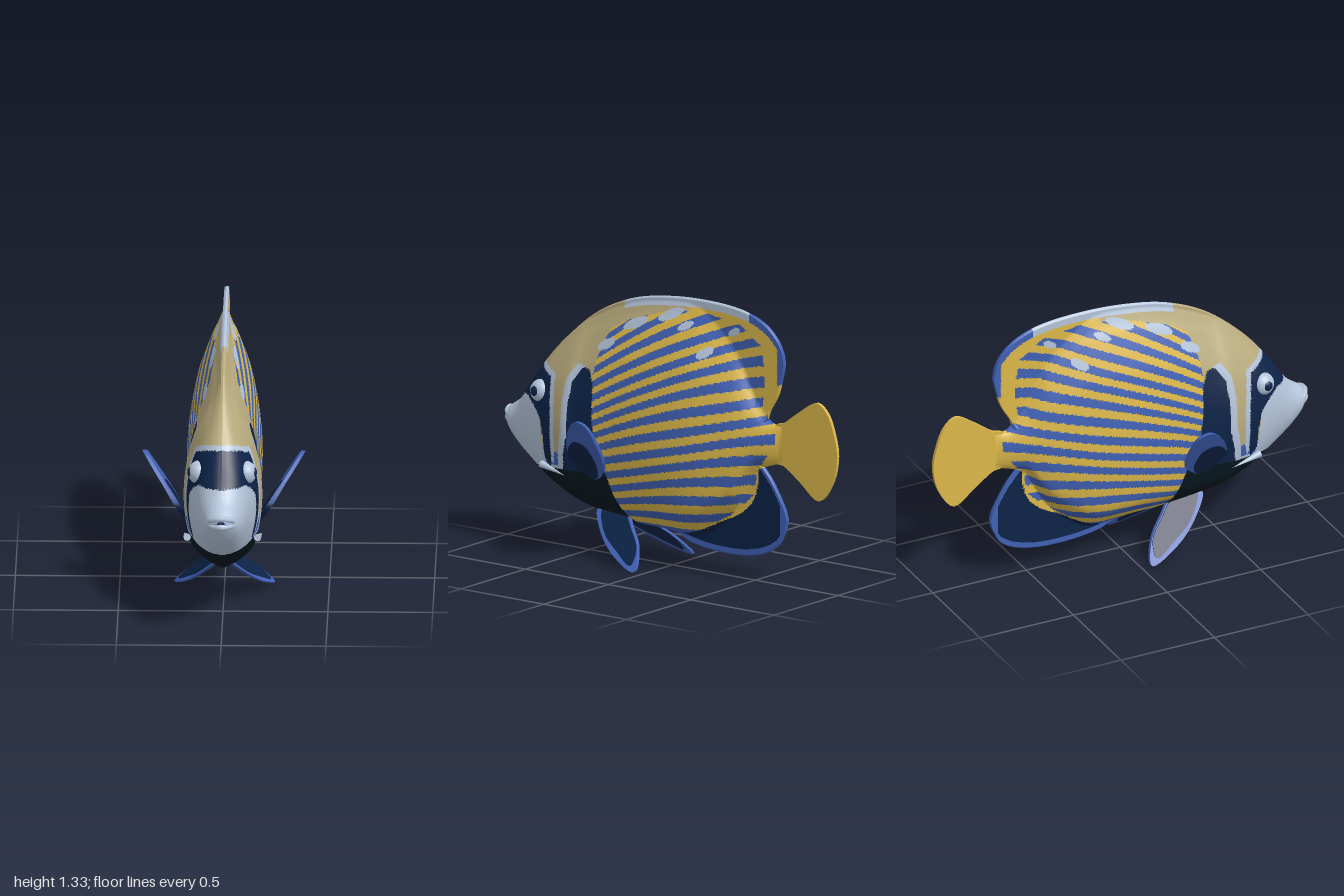
import * as THREE from 'three';

const mat = (name, hex, side = THREE.FrontSide) => {
  const m = new THREE.MeshStandardMaterial({ color: hex, side });
  m.name = name;
  return m;
};

// smooth curve y(z) through points listed from front to back
function curve(pts) {
  const n = pts.length - 1;
  const slope = i => {
    const a = pts[Math.max(0, i - 1)], b = pts[Math.min(n, i + 1)];
    return (b[1] - a[1]) / (b[0] - a[0]);
  };
  return z => {
    if (z >= pts[0][0]) return pts[0][1];
    if (z <= pts[n][0]) return pts[n][1];
    let i = 0;
    while (pts[i + 1][0] > z) i++;
    const [z0, y0] = pts[i], [z1, y1] = pts[i + 1], h = z1 - z0, t = (z - z0) / h;
    const t2 = t * t, t3 = t2 * t;
    return (2 * t3 - 3 * t2 + 1) * y0 + (t3 - 2 * t2 + t) * h * slope(i)
      + (3 * t2 - 2 * t3) * y1 + (t3 - t2) * h * slope(i + 1);
  };
}

function inside(poly, z, y) {
  let hit = false;
  for (let i = 0, j = poly.length - 1; i < poly.length; j = i++) {
    const [a, b] = poly[i], [c, d] = poly[j];
    if (b > y !== d > y && z < (c - a) * (y - b) / (d - b) + a) hit = !hit;
  }
  return hit;
}

// side outline
const top = curve([[.99, .62], [.97, .64], [.88, .71], [.785, .85], [.65, 1.01], [.46, 1.17], [.25, 1.27], [.035, 1.315],
  [-.2, 1.33], [-.42, 1.315], [-.555, 1.27], [-.635, 1.2], [-.67, 1.13], [-.678, 1.08]]);
const bottom = curve([[.99, .6], [.92, .49], [.8, .385], [.68, .3], [.52, .225], [.41, .2], [.2, .175], [-.02, .165],
  [-.125, .125], [-.31, .105], [-.5, .12], [-.635, .18], [-.685, .27], [-.695, .32]]);
const dorsalUnder = curve([[-.515, .76], [-.57, .78], [-.585, .83], [-.64, .93], [-.67, 1.04], [-.678, 1.08]]);
const analOver = curve([[-.515, .62], [-.54, .58], [-.6, .51], [-.65, .43], [-.685, .36], [-.695, .32]]);
const stalkTop = curve([[-.5, .82], [-.58, .79], [-.67, .775]]);
const stalkBottom = curve([[-.5, .54], [-.58, .57], [-.67, .6]]);

// fleshy core inside the outline, and its half width
const coreTop = curve([[-.1, 1.327], [-.2, 1.3], [-.4, 1.12], [-.515, .9], [-.58, .8], [-.67, .78]]);
const coreBottom = curve([[-.02, .165], [-.2, .17], [-.4, .34], [-.515, .54], [-.58, .57], [-.67, .6]]);
const girth = curve([[.99, .02], [.95, .07], [.9, .09], [.8, .125], [.7, .155], [.6, .175], [.52, .188], [.46, .175],
  [.3, .172], [.1, .18], [-.1, .175], [-.25, .155], [-.4, .115], [-.5, .08], [-.58, .05], [-.66, .02]]);
const section = curve([[1, 0], [.97, .09], [.93, .2], [.89, .33], [.8, .57], [.715, .75], [.54, .95], [.37, 1],
  [.2, .9], [.11, .75], [.03, .3], [0, 0]]);

function halfWidth(z, y) {
  const t = z > -.1 ? top(z) : coreTop(z), b = z > -.02 ? bottom(z) : coreBottom(z);
  const s = (y - b) / (t - b);
  if (s <= 0 || s >= 1) return .011;
  const round = Math.sqrt(1 - (2 * s - 1) ** 2);
  const k = Math.max(THREE.MathUtils.smoothstep(z, .4, .85), THREE.MathUtils.smoothstep(-z, .5, .58));
  return Math.max(.011, girth(z) * (section(s) * (1 - k) + round * k));
}

// colour regions in the side plane
const TAN = 0, PALE = 1, NAVY = 2, BLACK = 3, BLUE = 4, YELLOW = 5;
const eyeBand = [[.95, .735], [.785, .735], [.73, .7], [.68, .65], [.66, .56], [.66, .46], [.625, .41], [.61, .47],
  [.61, .56], [.61, .66], [.625, .78], [.635, .85], [.74, .89], [.9, .95]];
const gillBand = [[.44, .93], [.40, .92], [.37, .85], [.36, .7], [.34, .55], [.28, .43], [.235, .3], [.2, .1],
  [.9, .1], [.8, .39], [.65, .41], [.53, .42], [.52, .5], [.5, .6], [.5, .75], [.49, .86]];
const face = [[1.1, .76], [.87, .745], [.78, .74], [.73, .7], [.68, .65], [.65, .4], [.8, .38], [.95, .3], [1.1, .3]];
const flank = [[.37, .98], [.33, 1.12], [.25, 1.17], [.1, 1.22], [-.02, 1.26], [-.2, 1.27], [-.42, 1.24], [-.55, 1.15],
  [-.565, 1], [-.555, .86], [-.64, .74], [-.64, .68], [-.52, .53], [-.5, .42], [-.39, .32], [-.2, .2], [0, .15],
  [.2, .15], [.25, .3], [.3, .43], [.36, .6], [.38, .85]];
const patches = [[-.25, 1.09, .04, .025], [.18, 1.17, .07, .025], [-.02, 1.24, .07, .025], [.33, 1.05, .05, .025],
  [-.12, 1.2, .04, .02], [-.38, 1.2, .035, .02]];
const analRoot = curve([[0, .165], [-.05, .17], [-.18, .2], [-.31, .26], [-.45, .34], [-.515, .43], [-.535, .56]]);

function paint(z, y) {
  if (inside(eyeBand, z, y)) return NAVY;
  if (inside(gillBand, z, y)) return y > .42 ? NAVY : BLACK;
  if (inside(face, z, y)) return PALE;
  if (z > .55 && inside(eyeBand, z + .025, y - .02)) return PALE;
  if (z > .4 && y > .41 && inside(gillBand, z - .035, y - .012)) return PALE;
  if (z < -.03 && y < analRoot(z)) {
    const rim = y < bottom(z) + .035 || z < -.655 || (z < -.515 && y > analOver(z) - .03);
    return rim ? BLUE : NAVY;
  }
  if (z < .28 && y > top(z) - .042) return z > -.47 ? PALE : BLUE;
  if (z < -.64 && y > .98) return BLUE;
  if (patches.some(([a, b, r, q]) => ((z - a) / r) ** 2 + ((y - b - .4 * (a - z)) / q) ** 2 < 1)) return PALE;
  if (inside(flank, z, y)) {
    // stripes fan upward toward the tail
    const d = .3 - z, g = d - .3 * d * d;
    const root = y / (1 + .65 * g) + .005 * Math.sin(9 * z + 14 * y);
    return Math.sin(root * Math.PI * 2 / .068) > -.03 ? BLUE : YELLOW;
  }
  if (y < .5 && z > -.1) return BLUE;
  return z > -.12 ? TAN : YELLOW;
}

// two mirrored skins between two outline curves, sorted into colour groups
function skin(name, mats, z0, z1, lo, hi, cols, rows, ease = 1) {
  const pos = [], buckets = mats.map(() => []);
  for (const side of [1, -1]) {
    const base = pos.length / 3;
    for (let i = 0; i <= cols; i++) {
      const z = z0 + (z1 - z0) * (1 - (1 - i / cols) ** ease), a = lo(z), b = hi(z);
      for (let j = 0; j <= rows; j++) {
        const t = j / rows, y = a + (b - a) * (t - .06 * Math.sin(2 * Math.PI * t));
        pos.push(j % rows ? side * halfWidth(z, y) : 0, y, z);
      }
    }
    const add = (a, b, c) => {
      const mid = k => (pos[3 * a + k] + pos[3 * b + k] + pos[3 * c + k]) / 3;
      buckets[paint(mid(2), mid(1))].push(...(side > 0 ? [a, b, c] : [a, c, b]));
    };
    for (let i = 0; i < cols; i++) for (let j = 0; j < rows; j++) {
      const a = base + i * (rows + 1) + j, b = a + rows + 1;
      add(a, b, b + 1);
      add(a, b + 1, a + 1);
    }
  }
  const geo = new THREE.BufferGeometry();
  geo.setAttribute('position', new THREE.Float32BufferAttribute(pos, 3));
  geo.setIndex(buckets.flat());
  let start = 0;
  buckets.forEach((b, k) => { if (b.length) geo.addGroup(start, b.length, k); start += b.length; });
  geo.computeVertexNormals();
  const mesh = new THREE.Mesh(geo, mats);
  mesh.name = name;
  return mesh;
}

// thin fin from a smooth (z, y) outline, pushed sideways by lean(z, y)
function fin(name, material, outline, thick, lean = () => 0) {
  const p = outline.map(([z, y]) => new THREE.Vector2(-z, y));
  const loop = new THREE.CatmullRomCurve3(p.map(v => new THREE.Vector3(v.x, v.y, 0)), true, 'centripetal');
  const shape = new THREE.Shape(loop.getPoints(60).slice(0, -1).map(v => new THREE.Vector2(v.x, v.y)));
  const geo = new THREE.ExtrudeGeometry(shape, { depth: thick, bevelEnabled: false });
  geo.translate(0, 0, -thick / 2).rotateY(Math.PI / 2);
  const a = geo.attributes.position;
  for (let i = 0; i < a.count; i++) a.setX(i, a.getX(i) + lean(a.getZ(i), a.getY(i)));
  geo.computeVertexNormals();
  const mesh = new THREE.Mesh(geo, material);
  mesh.name = name;
  return mesh;
}

export function createModel() {
  const fish = new THREE.Group();
  fish.name = 'reefFish';
  const D = THREE.DoubleSide;
  const mats = [mat('tan', 0xb8aa7c, D), mat('paleBlue', 0xb4c4da, D), mat('navy', 0x0c2347, D),
    mat('nearBlack', 0x05181f, D), mat('blue', 0x4061b5, D), mat('yellow', 0xdcb84a, D)];
  const part = (name, geo, material, x = 0, y = 0, z = 0) => {
    const m = new THREE.Mesh(geo, material);
    m.name = name;
    m.position.set(x, y, z);
    fish.add(m);
    return m;
  };
  const tube = (pts, r) => new THREE.TubeGeometry(
    new THREE.CatmullRomCurve3(pts.map(p => new THREE.Vector3(...p))), 20, r, 8);

  // body and the fins that grow out of it
  fish.add(skin('body', mats, .99, -.515, bottom, top, 200, 135));
  fish.add(skin('dorsalFinRear', mats, -.515, -.678, dorsalUnder, top, 24, 60, 2));
  fish.add(skin('analFinRear', mats, -.515, -.695, bottom, analOver, 26, 56, 2));
  fish.add(skin('tailStalk', mats, -.515, -.67, stalkBottom, stalkTop, 20, 34));
  fish.add(fin('tailFin', mats[YELLOW], [[-.62, .775], [-.68, .8], [-.77, .865], [-.877, .925], [-.94, .88], [-.985, .77],
    [-1, .68], [-.975, .555], [-.89, .445], [-.77, .525], [-.68, .585], [-.62, .6]], .018));

  // lips
  part('upperLip', tube([[-.068, .595, .925], [-.04, .62, .965], [0, .628, .98], [.04, .62, .965], [.068, .595, .925]], .015), mats[PALE]);
  part('lowerLip', tube([[-.066, .585, .925], [-.04, .587, .965], [0, .588, .986], [.04, .587, .965], [.066, .585, .925]], .014), mats[PALE]);

  // paired parts
  for (const s of [1, -1]) {
    const side = s > 0 ? 'left' : 'right';
    part(side + 'Eye', new THREE.SphereGeometry(.057, 24, 16), mats[PALE], s * .112, .77, .705).scale.x = .9;
    part(side + 'Pupil', new THREE.SphereGeometry(.026, 16, 12), mats[NAVY], s * .153, .773, .712).scale.x = .5;

    const spine = part(side + 'GillSpine', new THREE.ConeGeometry(.018, .16, 10), mats[PALE], s * .177, .412, .585);
    spine.quaternion.setFromUnitVectors(new THREE.Vector3(0, 1, 0), new THREE.Vector3(s * .12, -.2, -1).normalize());

    const pec = (z, y) => s * (.17 + .64 * (y - .42) + .12 * (.35 - z));
    fish.add(fin(side + 'PectoralFin', mats[BLUE], [[.45, .5], [.42, .6], [.36, .68], [.29, .73], [.235, .715],
      [.215, .62], [.23, .5], [.29, .43], [.34, .4]], .02, pec));
    fish.add(fin(side + 'PectoralPatch', mats[NAVY], [[.455, .5], [.42, .565], [.36, .605], [.3, .59], [.28, .5],
      [.305, .425], [.35, .4]], .028, pec));

    const pel = (z, y) => s * (.05 + .9 * (.2 - y));
    fish.add(fin(side + 'PelvicFin', mats[BLUE], [[.42, .22], [.34, .13], [.2, .045], [.05, .002], [.09, .09],
      [.18, .17], [.25, .22]], .018, pel));
    fish.add(fin(side + 'PelvicPatch', mats[NAVY], [[.39, .22], [.32, .135], [.2, .07], [.085, .025], [.095, .09],
      [.18, .165], [.25, .215]], .026, pel));
  }
  return fish;
}
